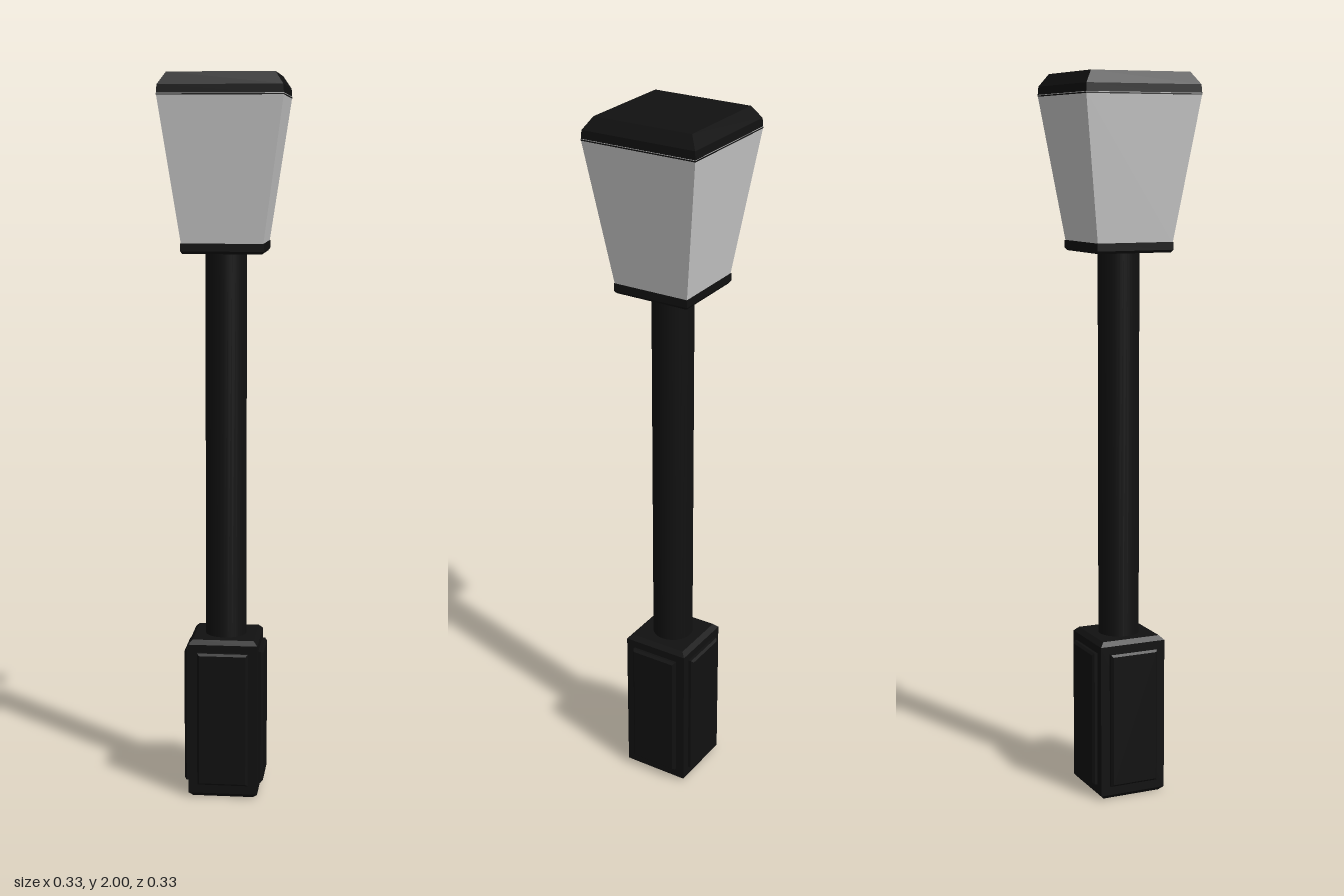
import * as THREE from 'three';

const metal = new THREE.MeshStandardMaterial({ color: 0x111111, flatShading: true });
const smoothMetal = new THREE.MeshStandardMaterial({ color: 0x111111 });
const glass = new THREE.MeshStandardMaterial({ color: 0xcccccc, flatShading: true });

// Square-section solid from [half width, height] pairs, listed bottom to top
function squareSolid(name, profile, material) {
  const points = profile.map(([half, y]) => new THREE.Vector2(half * Math.SQRT2, y));
  points.unshift(new THREE.Vector2(0, profile[0][1]));
  points.push(new THREE.Vector2(0, profile[profile.length - 1][1]));
  const geometry = new THREE.LatheGeometry(points, 4).rotateY(Math.PI / 4);
  const mesh = new THREE.Mesh(geometry, material);
  mesh.name = name;
  return mesh;
}

export function createModel() {
  const lamp = new THREE.Group();
  lamp.name = 'streetLamp';

  // Pedestal with chamfered ends
  lamp.add(squareSolid('pedestal', [
    [0.085, 0], [0.097, 0.012], [0.097, 0.443], [0.085, 0.455],
  ], metal));

  // Raised panel with bevelled edges on each side of the pedestal
  const w = 0.065, h = 0.185, bevel = 0.006;
  const outline = new THREE.Shape([
    new THREE.Vector2(-w, -h), new THREE.Vector2(w, -h),
    new THREE.Vector2(w, h), new THREE.Vector2(-w, h),
  ]);
  const panelGeometry = new THREE.ExtrudeGeometry(outline, {
    depth: 0.01, bevelEnabled: true, bevelSize: bevel, bevelThickness: bevel, bevelSegments: 1,
  }).translate(0, 0.23, 0.095);
  for (let i = 0; i < 4; i++) {
    const panel = new THREE.Mesh(panelGeometry, metal);
    panel.name = 'pedestalPanel';
    panel.rotation.y = i * Math.PI / 2;
    lamp.add(panel);
  }

  // Round pole
  const pole = new THREE.Mesh(new THREE.CylinderGeometry(0.057, 0.057, 1.1, 32), smoothMetal);
  pole.name = 'pole';
  pole.position.y = 0.985;
  lamp.add(pole);

  // Lantern: base plate, flared glass and chamfered roof
  lamp.add(squareSolid('lanternBase', [[0.107, 1.525], [0.112, 1.532], [0.112, 1.553]], metal));
  lamp.add(squareSolid('lanternGlass', [[0.11, 1.55], [0.167, 1.945]], glass));
  lamp.add(squareSolid('lanternRoof', [[0.167, 1.94], [0.165, 1.967], [0.143, 2]], metal));

  return lamp;
}
